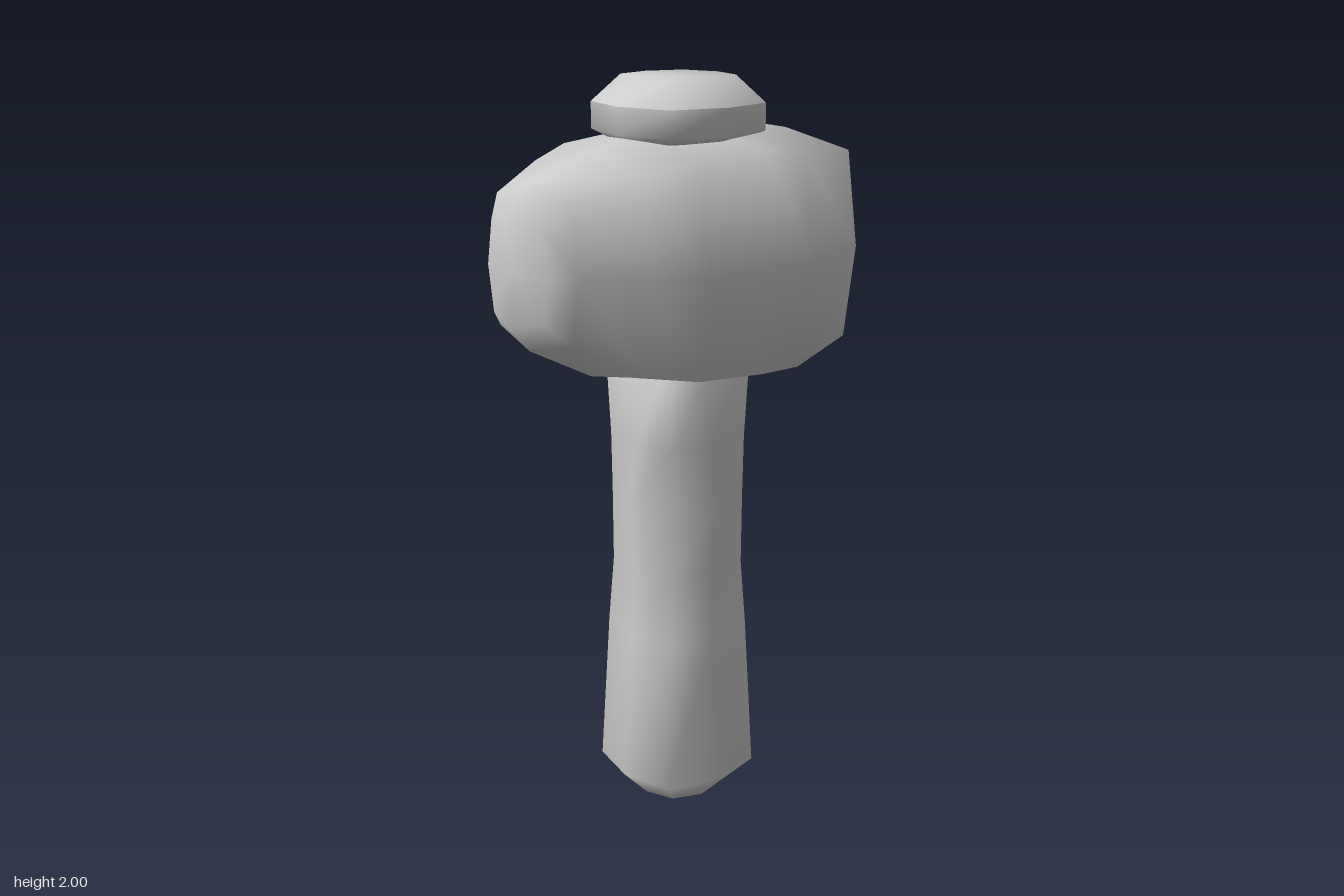
import * as THREE from 'three';

const material = new THREE.MeshStandardMaterial({ color: 0xcccccc });

// Eight-sided outline: four mid-sides at 1 and four corners at k
const octagon = (k) => [[1, 0], [k, k], [0, 1], [-k, k], [-1, 0], [-k, -k], [0, -1], [k, -k]];

// Smooth skin over a stack of eight-point rings; optional centre points close the ends
function loft(name, rings, startPoint, endPoint) {
  const n = 8;
  const positions = rings.flat(2);
  const index = [];
  for (let i = 0; i < rings.length - 1; i++) {
    for (let j = 0; j < n; j++) {
      const a = i * n + j, b = i * n + (j + 1) % n;
      index.push(a, b, b + n, a, b + n, a + n);
    }
  }
  const close = (point, first, flip) => {
    if (!point) return;
    const c = positions.length / 3;
    positions.push(...point);
    for (let j = 0; j < n; j++) {
      const a = first + j, b = first + (j + 1) % n;
      index.push(...(flip ? [b, a, c] : [a, b, c]));
    }
  };
  close(startPoint, 0, true);
  close(endPoint, (rings.length - 1) * n, false);
  const geometry = new THREE.BufferGeometry();
  geometry.setAttribute('position', new THREE.Float32BufferAttribute(positions, 3));
  geometry.setIndex(index);
  geometry.computeVertexNormals();
  const mesh = new THREE.Mesh(geometry, material);
  mesh.name = name;
  return mesh;
}

// Ring across the head: bow pushes its top and bottom middles along z
const headRing = ([z, halfWidth, top, bottom, k, bow = 0]) =>
  octagon(k).map(([u, v]) => [
    u * halfWidth,
    (top + bottom) / 2 + v * (top - bottom) / 2,
    z + (u === 0 ? bow : 0),
  ]);

// Ring across the upright parts: separate front, back and corner reach
const AXIS_Z = -0.04;
const uprightRing = ([y, side, corner, front = side, back = side]) =>
  octagon(1).map(([w, u]) => {
    if (u !== 0 && w !== 0) return [u * corner, y, AXIS_Z + w * corner];
    return [u * side, y, AXIS_Z + (w > 0 ? front : -back) * Math.abs(w)];
  });

export function createModel() {
  const model = new THREE.Group();
  model.name = 'mallet';

  // Head: bulging back face, fat barrel, tapered rounded front
  model.add(loft('head', [
    [-0.47, 0.14, 1.71, 1.41, 0.85, -0.01],
    [-0.41, 0.29, 1.84, 1.27, 0.87, -0.01],
    [-0.2, 0.345, 1.88, 1.215, 0.86],
    [-0.08, 0.345, 1.875, 1.215, 0.86],
    [0.12, 0.327, 1.855, 1.225, 0.86],
    [0.25, 0.268, 1.825, 1.25, 0.85],
    [0.42, 0.19, 1.76, 1.345, 0.82, 0.02],
    [0.47, 0.13, 1.69, 1.41, 0.84, 0.03],
  ].map(headRing), [0, 1.56, -0.5], [0, 1.55, 0.5]));

  // Handle: flared foot and a slight grip swelling
  model.add(loft('handle', [
    [0, 0.11, 0.08],
    [0.08, 0.19, 0.152],
    [0.5, 0.16, 0.135],
    [0.68, 0.14, 0.125, 0.145, 0.155],
    [0.87, 0.165, 0.126, 0.168, 0.16],
    [1.04, 0.14, 0.128, 0.142, 0.16],
    [1.3, 0.157, 0.138, 0.157, 0.178],
  ].map(uprightRing), [0, 0, AXIS_Z], [0, 1.3, AXIS_Z]));

  // Knob on top: upright band and sloped cap meeting at a crisp rim
  const knob = new THREE.Group();
  knob.name = 'knob';
  knob.add(loft('knobBand', [
    [1.84, 0.165, 0.13],
    [1.86, 0.2, 0.16],
    [1.93, 0.2, 0.16],
  ].map(uprightRing), [0, 1.84, AXIS_Z]));
  knob.add(loft('knobCap', [
    [1.93, 0.2, 0.16],
    [2, 0.135, 0.105],
  ].map(uprightRing), null, [0, 2, AXIS_Z]));
  model.add(knob);

  return model;
}
